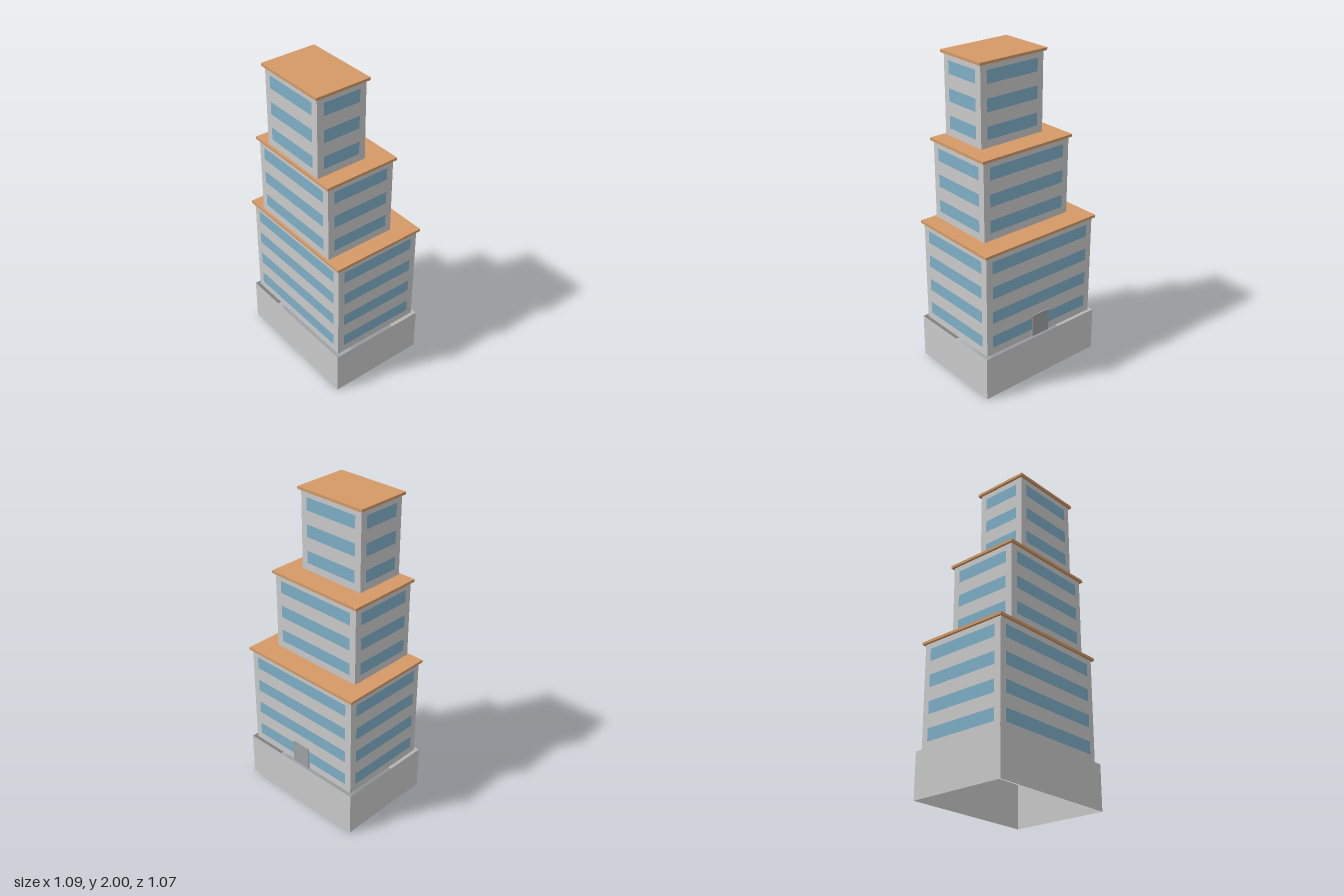
import * as THREE from 'three';

const concrete = new THREE.MeshStandardMaterial({ color: 0xcccccc, side: THREE.DoubleSide });
const glass = new THREE.MeshStandardMaterial({ color: 0x7fb0c8, side: THREE.DoubleSide });
const roofing = new THREE.MeshStandardMaterial({ color: 0xd59a66 });
const doorGrey = new THREE.MeshStandardMaterial({ color: 0xa0a2a4 });

function add(parent, name, geometry, material, x, y, z) {
  const mesh = new THREE.Mesh(geometry, material);
  mesh.name = name;
  mesh.position.set(x, y, z);
  parent.add(mesh);
  return mesh;
}

// Four walls without floor or ceiling: a box minus its top and bottom faces
function openBox(w, h, d) {
  const geometry = new THREE.BoxGeometry(w, h, d);
  const index = Array.from(geometry.index.array);
  index.splice(12, 12);
  geometry.setIndex(index);
  geometry.clearGroups();
  return geometry;
}

const ROOF = 0.0165, FLOOR = 1 / 6, OVERHANG = 0.0155, MARGIN = 0.044, BACK_LINE = 0.315;

// One storey block: walls, window bands on all sides, overhanging roof slab
function createTier(name, length, width, floors, y0) {
  const tier = new THREE.Group();
  tier.name = name;
  const h = floors * FLOOR;
  const w = length - 2 * OVERHANG, d = width - 2 * OVERHANG;
  add(tier, 'walls', openBox(w, h, d), concrete, 0, h / 2, 0);
  add(tier, 'roof', new THREE.BoxGeometry(length, ROOF, width), roofing, 0, h + ROOF / 2, 0);
  for (let side = 0; side < 4; side++) {
    const face = new THREE.Group();
    face.name = 'windowBands';
    face.rotation.y = side * Math.PI / 2;
    const span = side % 2 ? d : w, reach = (side % 2 ? w : d) / 2;
    for (let i = 0; i < floors; i++) {
      add(face, 'windowBand', new THREE.PlaneGeometry(span - 2 * MARGIN, 0.08), glass,
        0, i * FLOOR + 0.089, reach + 0.002);
    }
    tier.add(face);
  }
  // Every tier is flush with the same long edge
  tier.position.set(0, y0, BACK_LINE - width / 2);
  return tier;
}

export function createModel() {
  const model = new THREE.Group();
  model.name = 'steppedBuilding';
  const tower = new THREE.Group();
  tower.name = 'tower';
  tower.rotation.y = -0.74;
  model.add(tower);

  // Perimeter plinth, open above and below
  const baseHeight = 0.285;
  add(tower, 'plinth', openBox(0.882, baseHeight, 0.645), concrete, 0, baseHeight / 2, 0);

  // Stepped tiers
  let y = baseHeight;
  const tiers = [
    ['lowerTier', 0.867, 0.63, 4],
    ['middleTier', 0.682, 0.5, 3],
    ['upperTier', 0.498, 0.366, 3],
  ];
  for (const [name, length, width, floors] of tiers) {
    tower.add(createTier(name, length, width, floors, y));
    y += floors * FLOOR + ROOF;
  }

  // Entrance on the stepped long side
  add(tower, 'door', new THREE.BoxGeometry(0.133, 0.147, 0.012), doorGrey,
    0, baseHeight + 0.0735, -0.3);
  return model;
}
